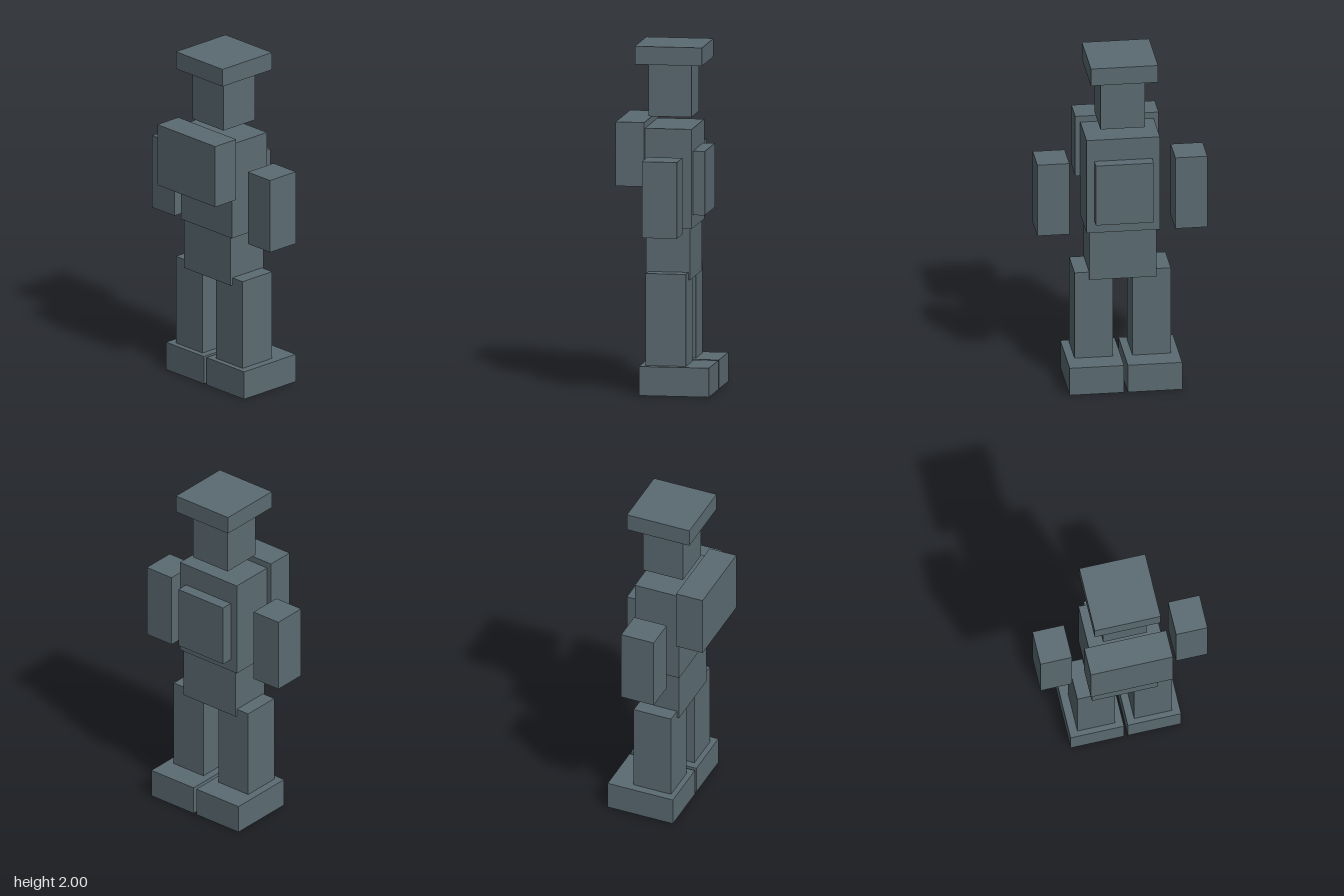
import * as THREE from 'three';

export function createModel() {
  const model = new THREE.Group();
  model.name = 'blockFigure';
  const slate = new THREE.MeshStandardMaterial({ name: 'slateGrey', color: 0x5b6b72 });

  // Box given by its lower and upper bounds on each axis
  function block(name, [x0, x1], [y0, y1], [z0, z1]) {
    const mesh = new THREE.Mesh(new THREE.BoxGeometry(x1 - x0, y1 - y0, z1 - z0), slate);
    mesh.position.set((x0 + x1) / 2, (y0 + y1) / 2, (z0 + z1) / 2);
    mesh.name = name;
    model.add(mesh);
  }
  const centred = (name, half, y, z) => block(name, [-half, half], y, z);
  const paired = (name, [inner, outer], y, z) => {
    block('left' + name, [inner, outer], y, z);
    block('right' + name, [-outer, -inner], y, z);
  };

  // Head and flat cap
  centred('cap', 0.194, [1.895, 2], [-0.215, 0.175]);
  centred('head', 0.129, [1.588, 1.895], [-0.142, 0.106]);

  // Body
  centred('chestPlate', 0.241, [1.196, 1.567], [0.112, 0.278]);
  centred('torso', 0.212, [0.953, 1.53], [-0.158, 0.119]);
  centred('backpack', 0.167, [1.028, 1.398], [-0.227, -0.158]);
  centred('pelvis', 0.194, [0.656, 0.953], [-0.147, 0.111]);

  // Limbs
  paired('Arm', [0.306, 0.491], [0.936, 1.377], [-0.121, 0.082]);
  paired('Leg', [0.056, 0.278], [0.168, 0.7], [-0.136, 0.097]);
  paired('Foot', [0.011, 0.325], [0, 0.168], [-0.278, 0.129]);

  return model;
}
